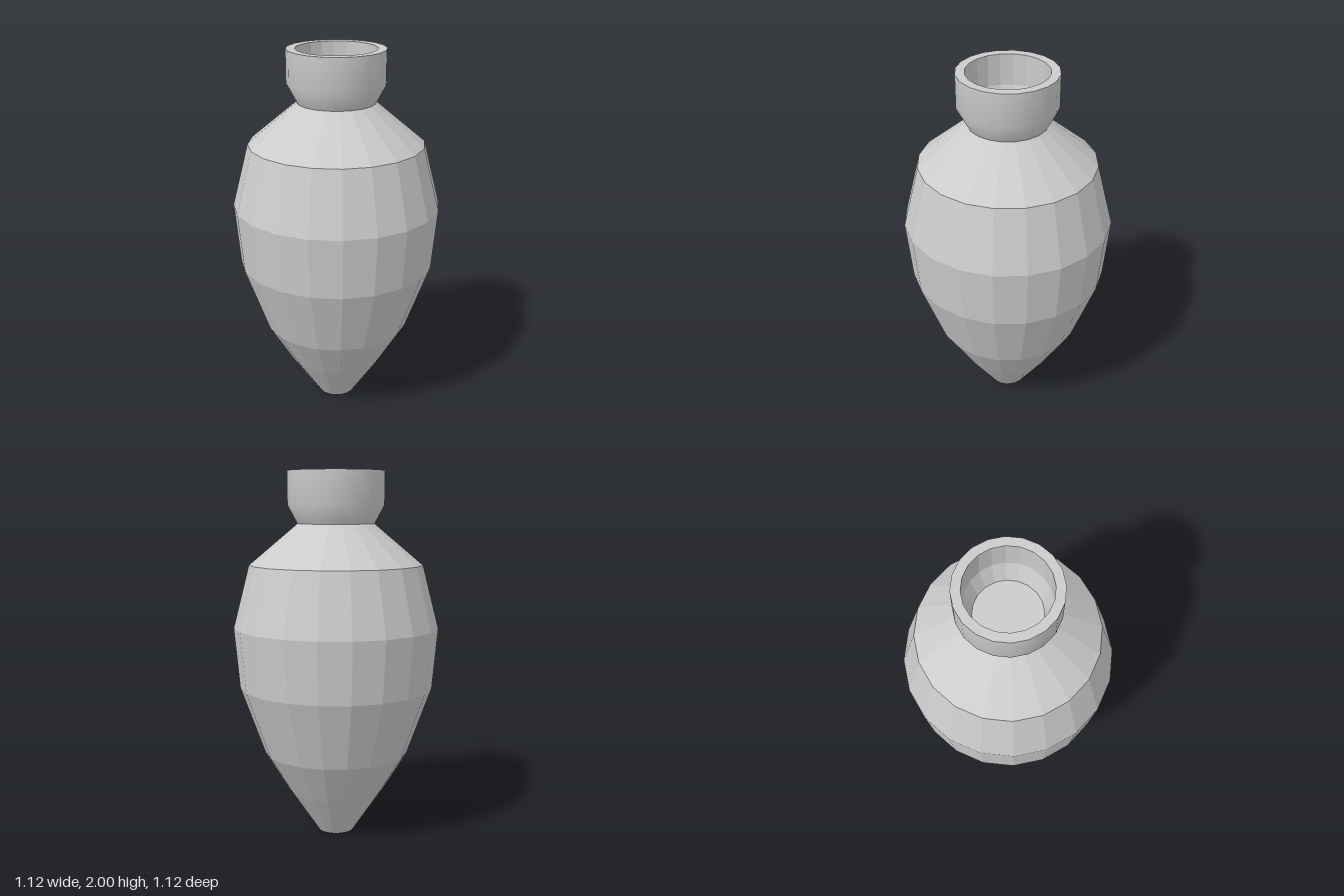
import * as THREE from 'three';

const SIDES = 20;

// Revolve [radius, y] pairs; the profile runs bottom to top on outer faces
function lathe(name, profile, flatShading) {
  const points = profile.map(([r, y]) => new THREE.Vector2(r, y));
  const material = new THREE.MeshStandardMaterial({ color: 0xcccccc, flatShading });
  const mesh = new THREE.Mesh(new THREE.LatheGeometry(points, SIDES), material);
  mesh.name = name;
  return mesh;
}

export function createModel() {
  const group = new THREE.Group();
  group.name = 'vase';

  // Faceted body with a closed foot
  group.add(lathe('body', [
    [0, 0], [0.1, 0], [0.263, 0.24], [0.397, 0.46], [0.53, 0.83],
    [0.56, 1.16], [0.473, 1.5], [0.21, 1.72],
  ], true));

  // Smooth outside of the neck
  group.add(lathe('neck', [[0.21, 1.72], [0.263, 1.82], [0.263, 2]], false));

  // Flat rim, faceted inner wall and floor of the mouth
  group.add(lathe('mouth', [
    [0.263, 2], [0.215, 2], [0.215, 1.83], [0.175, 1.72], [0, 1.72],
  ], true));

  return group;
}
